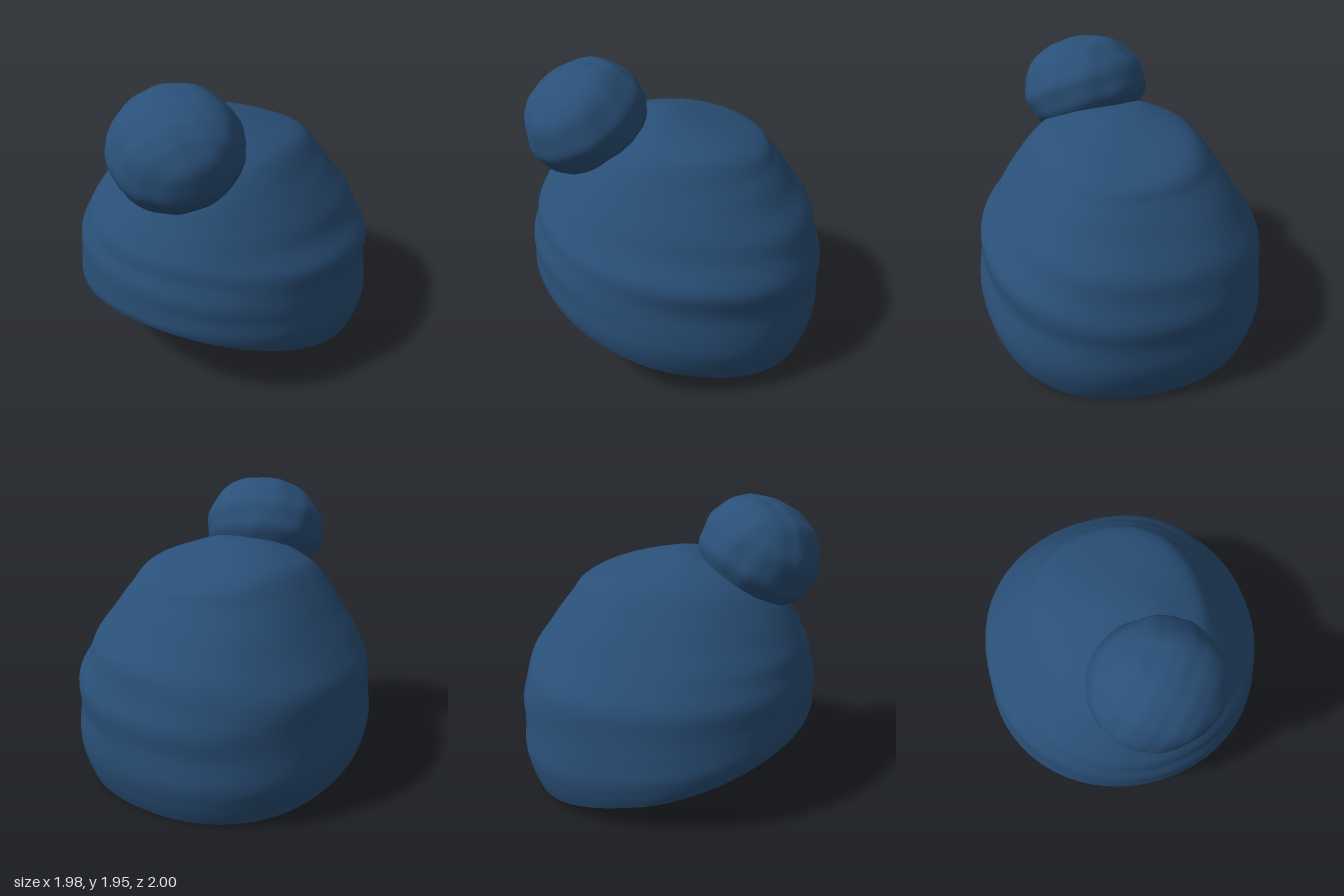
import * as THREE from 'three';

const wool = new THREE.MeshStandardMaterial({ color: 0x2a5078, side: THREE.DoubleSide });

// Tilted cross-sections: front z, front y, back z, back y, half width, lift at the sides
const sections = [
  [0.99, 0.53, -0.91, 0, 0.95, -0.07],
  [1.0, 0.57, -0.95, 0.1, 0.975, -0.06],
  [1.0, 0.62, -0.985, 0.25, 0.99, -0.04],
  [1.0, 0.72, -0.995, 0.48, 0.965, -0.02],
  [0.98, 0.86, -0.97, 0.7, 0.955, 0],
  [0.95, 0.98, -0.92, 0.92, 0.87, 0],
  [0.9, 1.1, -0.78, 1.12, 0.77, 0],
  [0.83, 1.22, -0.66, 1.3, 0.65, 0.02],
  [0.77, 1.3, -0.51, 1.43, 0.51, 0.09],
  [0.72, 1.36, -0.1, 1.57, 0.31, 0.06],
  [0.65, 1.43, 0.14, 1.6, 0.17, 0.02],
  [0.46, 1.5, 0.44, 1.51, 0.01, 0],
];

// Smooth interpolation between neighbouring cross-sections
function sectionAt(t) {
  const last = sections.length - 1;
  const i = Math.min(Math.floor(t), last - 1), f = t - i;
  const at = (k) => sections[Math.max(0, Math.min(last, k))];
  return sections[0].map((_, c) => {
    const a = at(i - 1)[c], b = at(i)[c], d = at(i + 1)[c], e = at(i + 2)[c];
    return b + 0.5 * f * (d - a + f * (2 * a - 5 * b + 4 * d - e + f * (3 * (b - d) + e - a)));
  });
}

const power = (v, n) => Math.sign(v) * Math.pow(Math.abs(v), n);

// Closed rings of points, skinned from the lowest to the highest
function loft(rows, cols, point) {
  const positions = [], index = [];
  for (let r = 0; r <= rows; r++) {
    for (let c = 0; c < cols; c++) {
      positions.push(...point(r / rows, (c / cols) * Math.PI * 2));
      if (r < rows) {
        const p = r * cols + c, q = r * cols + (c + 1) % cols;
        index.push(p, p + cols, q, q, p + cols, q + cols);
      }
    }
  }
  const g = new THREE.BufferGeometry();
  g.setAttribute('position', new THREE.Float32BufferAttribute(positions, 3));
  g.setIndex(index);
  g.computeVertexNormals();
  return g;
}

// Knitted body, from the slanted rim to the gathered tip
function bodyPoint(v, a) {
  const t = v * (sections.length - 1);
  const [fz, fy, bz, by, w, lift] = sectionAt(t);
  const cos = Math.cos(a), sin = Math.sin(a);
  // the back is fuller than the front
  const n = sin < 0 ? 0.88 : 0.98;
  // soft slanting folds, fading out at rim and tip
  const fade = THREE.MathUtils.smoothstep(t, 1, 3.5) * (1 - THREE.MathUtils.smoothstep(t, 9, 11));
  const fold = 0.65 * Math.sin(t * 3.1 - 2.6 * sin + 0.8 * cos) + 0.35 * Math.sin(t * 4.5 - 2 * a + 1);
  const s = 1 + 0.014 * fade * fold * (0.65 + 0.35 * Math.cos(a + 0.7));
  return [
    w * power(cos, n) * s,
    (fy + by) / 2 + (fy - by) / 2 * sin + lift * cos * cos,
    (fz + bz) / 2 + (fz - bz) / 2 * power(sin, n) * s,
  ];
}

// Pompom: domed above, flattened below, with gentle lumps
function pompomPoint(v, a) {
  const p = v * Math.PI;
  const ring = Math.pow(Math.abs(Math.sin(p)), v < 0.5 ? 0.8 : 0.95);
  const x = ring * Math.cos(a), y = -Math.cos(p), z = ring * Math.sin(a);
  const s = 1 + 0.012 * Math.sin(9 * x + 2 * y) * Math.cos(8 * z + 1)
    + 0.01 * Math.sin(11 * y + 3 * x) + 0.008 * Math.sin(14 * z + 5 * x) * Math.cos(13 * x);
  return [0.43 * x * s, (y < 0 ? 0.3 : 0.36) * y * s, 0.405 * z * s];
}

export function createModel() {
  const hat = new THREE.Group();
  hat.name = 'bobbleHat';

  const body = new THREE.Mesh(loft(110, 128, bodyPoint), wool);
  body.name = 'hatBody';

  // tipped forward over the front of the crown
  const pompom = new THREE.Mesh(loft(56, 80, pompomPoint), wool);
  pompom.name = 'pompom';
  pompom.position.set(0.065, 1.58, 0.59);
  pompom.rotation.x = 0.5;

  hat.add(body, pompom);
  return hat;
}
